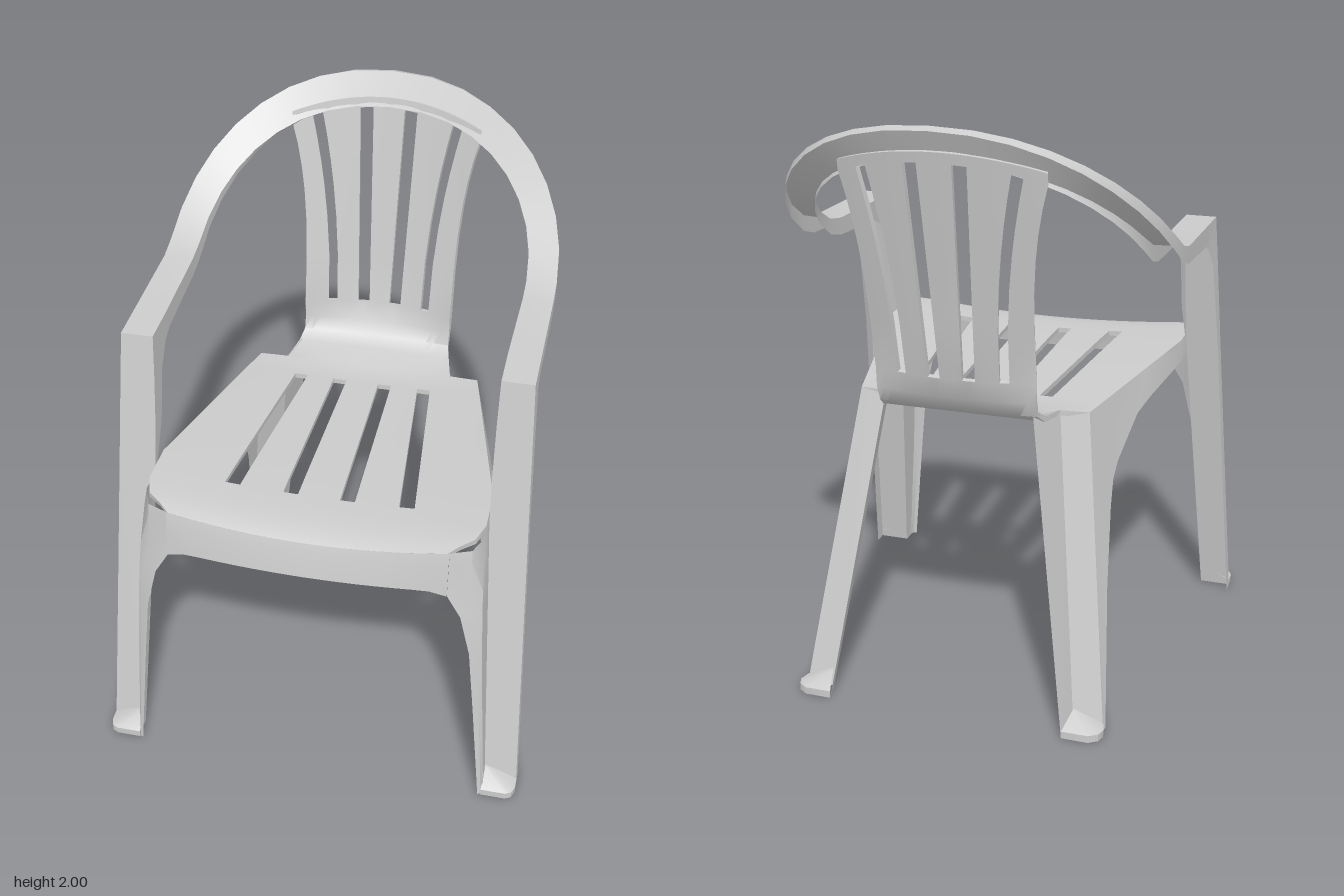
import * as THREE from 'three';
import { toCreasedNormals } from 'three/addons/utils/BufferGeometryUtils.js';

const V = (x, y, z) => new THREE.Vector3(x, y, z);
const { clamp, lerp } = THREE.MathUtils;
const material = new THREE.MeshStandardMaterial({ color: 0xcccccc, side: THREE.DoubleSide });

// Mesh from a list of four-cornered faces, smooth except at sharp folds.
function quadMesh(name, quads) {
  const pos = [];
  for (const [a, b, c, d] of quads) {
    for (const t of [[a, b, c], [a, c, d]]) {
      const area = t[1].clone().sub(t[0]).cross(t[2].clone().sub(t[0])).length();
      if (area > 1e-7) for (const p of t) pos.push(p.x, p.y, p.z);
    }
  }
  const g = new THREE.BufferGeometry();
  g.setAttribute('position', new THREE.Float32BufferAttribute(pos, 3));
  const mesh = new THREE.Mesh(toCreasedNormals(g, 0.6), material);
  mesh.name = name;
  return mesh;
}

// Surface through rows of points with equal counts.
function loft(name, rows) {
  const quads = [];
  for (let j = 0; j < rows.length - 1; j++)
    for (let i = 0; i < rows[j].length - 1; i++)
      quads.push([rows[j][i], rows[j][i + 1], rows[j + 1][i + 1], rows[j + 1][i]]);
  return quadMesh(name, quads);
}

// Seat outline and height along z: rounded front corners, taper to the rear, raised sides.
const frontness = (z) => Math.max(0, (z - 0.53) / 0.145);
const seatHalf = (z) => Math.min(0.555, 0.4 + (z + 0.3) * 0.227) - 0.1 * frontness(z) ** 2;
const seatY = (z) => Math.min(1.04, 1.026 + 0.035 * z) - 0.025 * frontness(z) ** 3;
const seatLift = (z) => 0.03 * clamp((z + 0.4) / 0.8, 0, 1);

// One cross row of the seat: centre, bow in z, edge lift, slot edges and half width.
function seatRow(z) {
  return { z, y: seatY(z), bow: z > 0.62 ? -0.08 : 0, lift: seatLift(z), open: z > -0.19 && z < 0.48,
    edges: [0.0615 + 0.018 * z, 0.109 + 0.022 * z, 0.219 + 0.096 * z, 0.266 + 0.104 * z, seatHalf(z)] };
}

// One cross row of the backrest: the slats fan out towards the top.
function backRow([z, y]) {
  const t = clamp((y - 1.165) / 0.72, 0, 1);
  return { z, y, bow: 0.6 * clamp((y - 1.028) / 0.137, 0, 1), lift: -0.055 * t, open: y > 1.16 && y < 1.88,
    edges: [0.037 + 0.018 * t, 0.078 + 0.022 * t, 0.155 + 0.073 * t * t, 0.185 + 0.077 * t * t,
      0.268 + 0.062 * t ** 3 + 0.032 * Math.max(0, (z + 0.45) / 0.145)] };
}

// Seat and backrest: one thick slotted sheet that bends upwards at the rear.
function seatAndBack() {
  const bend = [[-0.305, 1.018], [-0.4, 1.028], [-0.45, 1.055], [-0.48, 1.1]];
  const rise = [1.165, 1.35, 1.5, 1.62, 1.71, 1.8, 1.885, 1.92].map((y) => [-0.5 - 0.183 * (y - 1.165), y]);
  const rows = [
    ...[0.675, 0.65, 0.6, 0.53, 0.475, 0.38, 0.1, -0.2, -0.3].map(seatRow),
    ...[...bend, ...rise].map(backRow)];
  const SUB = 3, THICK = 0.018;
  const top = rows.map(({ z, y, bow, lift, edges }) => {
    const cuts = [...edges.map((e) => -e).reverse(), ...edges], line = [];
    for (let i = 0; i <= 9 * SUB; i++) {
      const k = Math.min(Math.floor(i / SUB), 8);
      const x = lerp(cuts[k], cuts[k + 1], i / SUB - k);
      line.push(V(x, y + lift * (x / edges[4]) ** 2, z + bow * x * x));
    }
    return line;
  });
  const nr = top.length, nc = top[0].length;
  const under = top.map((line, j) => line.map((p, i) => {
    const du = line[Math.min(i + 1, nc - 1)].clone().sub(line[Math.max(i - 1, 0)]);
    const dv = top[Math.min(j + 1, nr - 1)][i].clone().sub(top[Math.max(j - 1, 0)][i]);
    return p.clone().addScaledVector(du.cross(dv).normalize(), -THICK);
  }));
  const solid = (i, j) => i >= 0 && j >= 0 && i < nc - 1 && j < nr - 1 &&
    (Math.floor(i / SUB) % 2 === 0 || !rows[j].open);
  const quads = [];
  for (let j = 0; j < nr - 1; j++) for (let i = 0; i < nc - 1; i++) {
    if (!solid(i, j)) continue;
    const c = [[i, j], [i + 1, j], [i + 1, j + 1], [i, j + 1]];
    const T = c.map(([u, v]) => top[v][u]), U = c.map(([u, v]) => under[v][u]);
    quads.push(T, [...U].reverse());
    // Walls along the rim and around the slots
    [[i, j - 1], [i + 1, j], [i, j + 1], [i - 1, j]].forEach(([u, v], k) => {
      const n = (k + 1) % 4;
      if (!solid(u, v)) quads.push([T[n], T[k], U[k], U[n]]);
    });
  }
  return quadMesh('seatAndBackrest', quads);
}

// Front posts, arms and top hoop: one channel swept from foot to foot.
function armHoop() {
  // outer x, inner x, y, z, flange offset in y and z, inner flange share
  const stations = [
    [0.73, 0.62, 0, 0.64, 0, -0.05, 0.1],
    [0.683, 0.557, 1.02, 0.47, 0, -0.05, 0.1],
    [0.675, 0.553, 1.2, 0.44, 0, -0.065, 1],
    [0.667, 0.553, 1.38, 0.41, -0.01, -0.08, 1],
    [0.66, 0.555, 1.53, 0.385, -0.09, -0.115, 1],
    [0.66, 0.555, 1.533, 0.24, -0.07, -0.02, 1],
    [0.66, 0.56, 1.54, -0.07, -0.06, 0, 1],
  ].map(([xo, xi, y, z, dy, dz, k]) => ({ o: V(xo, y, z), i: V(xi, y, z), dy, dz, k }));
  // The arch follows a slightly squared ellipse that climbs towards the rear
  const STEPS = 9;
  for (let n = 0; n <= STEPS; n++) {
    const a = n / STEPS * Math.PI / 2, c = Math.cos(a) ** 0.909, w = Math.sin(a) ** 0.909;
    stations.push({
      o: V(0.66 * c, 1.56 + 0.44 * w ** 1.22, -0.15 - 0.533 * w),
      i: V(0.56 * c, 1.555 + 0.335 * w ** 1.22, -0.15 - 0.48 * w),
      dy: lerp(-0.055, -0.01, w), dz: -0.03 * w, k: 1 - 0.5 * w });
  }
  const section = (s) => ({ o, i, dy, dz, k }) => [
    V(s * o.x, o.y + dy, o.z + dz), V(s * o.x, o.y, o.z),
    V(s * i.x, i.y, i.z), V(s * i.x, i.y + dy * k, i.z + dz * k)];
  return loft('armsAndTopHoop', [
    ...stations.map(section(1)), ...stations.slice(0, -1).reverse().map(section(-1))]);
}

// Front apron hanging from the seat edge.
function apron() {
  const rows = [];
  for (let i = 0; i <= 16; i++) {
    const q = (i / 8 - 1) ** 2, x = 0.46 * (i / 8 - 1);
    rows.push([V(x, 1.015 + 0.03 * q, 0.675 - 0.017 * q), V(x, 0.985 + 0.015 * q, 0.685 - 0.017 * q),
      V(x, 0.895 + 0.006 * q - 0.02 * q ** 8, 0.703 - 0.025 * q)]);
  }
  return loft('frontApron', rows);
}

// Legs, skirts and feet of one side; s is 1 for left, -1 for right.
function sideParts(s) {
  const group = new THREE.Group();
  group.name = s > 0 ? 'leftSide' : 'rightSide';
  const P = (x, y, z) => V(s * x, y, z);

  // Front leg: side panel turning into a narrow front panel that widens to the apron
  const innerEdge = [[0, 0.605], [0.4, 0.568], [0.65, 0.543], [0.8, 0.507], [0.88, 0.46], [1, 0.46], [1.045, 0.46]];
  group.add(loft('frontLeg', innerEdge.map(([y, x]) => {
    const side = 0.62 - 0.061 * y, front = 0.71 - 0.035 * y - 0.012 * y ** 8;
    return [P(side, y, 0.64 - 0.167 * y), P(side + 0.002, y, 0.69 - 0.03 * y - 0.08 * y ** 6),
      P(lerp(side, x, 0.3), y, front - 0.005 - 0.02 * y * y), P(x, y, front)];
  })));

  // Side skirt: hangs from the seat edge, then runs down the fold of the rear leg
  const upper = (z) => {
    const t = (-0.3 - z) / 0.245;
    return t <= 0 ? P(seatHalf(z), seatY(z) + seatLift(z), z) : P(lerp(0.4, 0.53, t), lerp(1.018, 0, t), z);
  };
  const skirt = [ // z of the upper edge, then the lower edge point
    [0.47, 0.56, 1, 0.47], [0.38, 0.56, 0.995, 0.38], [0.28, 0.543, 0.975, 0.31],
    [0.1, 0.512, 0.95, 0.1], [0, 0.49, 0.92, 0], [-0.17, 0.467, 0.81, -0.17],
    [-0.3, 0.463, 0.76, -0.215], [-0.372, 0.468, 0.68, -0.26], [-0.44, 0.492, 0.44, -0.38],
    [-0.545, 0.532, 0, -0.52]];
  group.add(loft('sideSkirt', skirt.map(([z, ...low]) => [upper(z), P(...low)])));

  // Rear leg: inset channel open to the outer back corner
  group.add(loft('rearLeg', [
    [P(0.4, 1.018, -0.3), P(0.3, 1.018, -0.3), P(0.255, 1.04, -0.455)],
    [P(0.53, 0, -0.545), P(0.43, 0, -0.55), P(0.41, 0, -0.63)],
  ]));

  // Sloping foot caps with a rounded corner
  const foot = (name, [ax, az], rim) => group.add(loft(name, [
    rim.map(() => P(ax, 0.07, az)),
    rim.map(([x, z]) => P(x, 0.025, z)),
    rim.map(([x, z]) => P(x, 0, z))]));
  foot('frontFoot', [0.62, 0.635], [[0.73, 0.63], [0.73, 0.675], [0.72, 0.7], [0.7, 0.71], [0.615, 0.71]]);
  foot('rearFoot', [0.43, -0.55], [[0.53, -0.54], [0.54, -0.58], [0.53, -0.61], [0.5, -0.63], [0.41, -0.63]]);
  return group;
}

export function createModel() {
  const chair = new THREE.Group();
  chair.name = 'chair';
  chair.add(seatAndBack(), armHoop(), apron(), sideParts(1), sideParts(-1));
  return chair;
}
